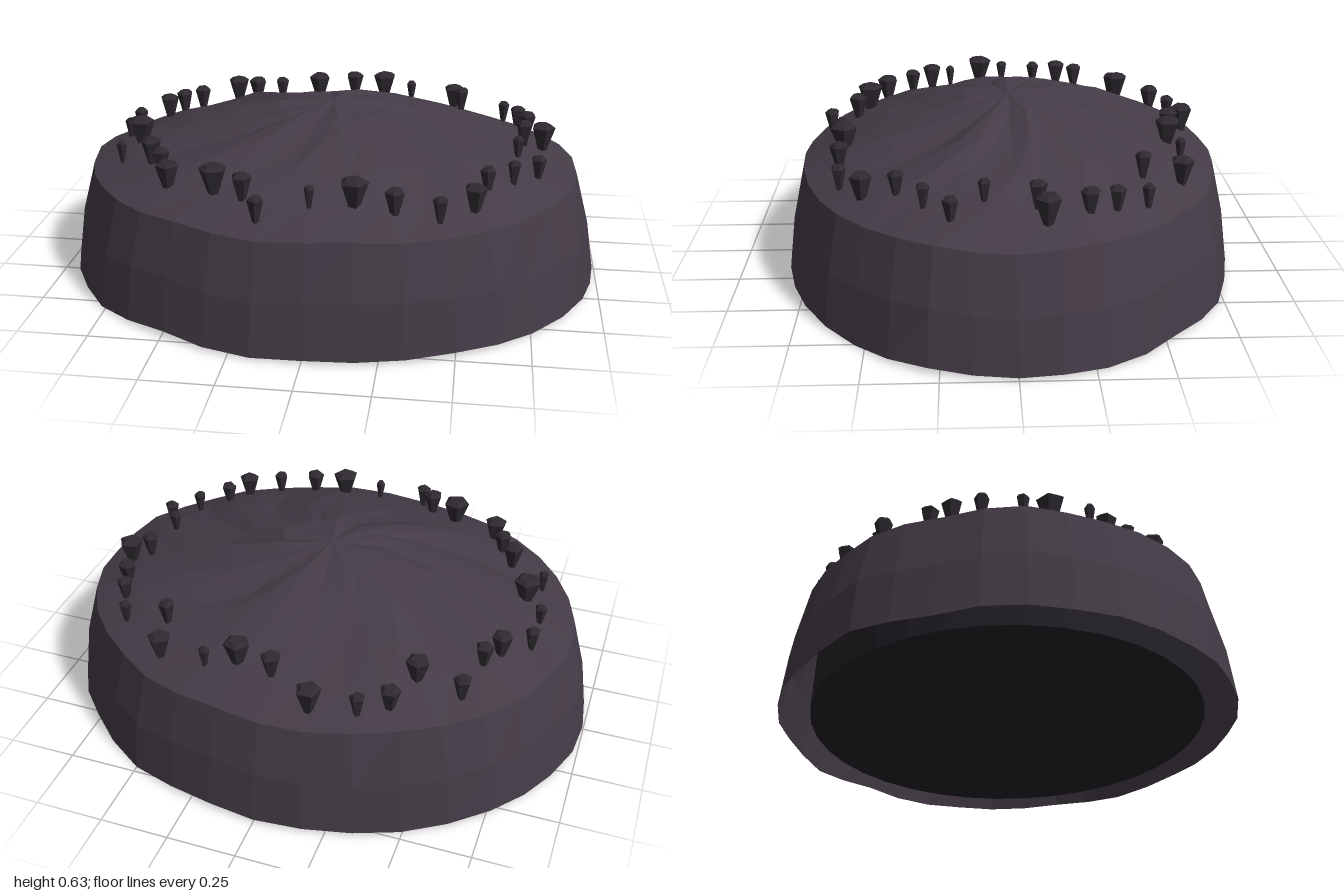
import * as THREE from 'three';

const SIDES = 36;
const DEPTH = 0.84; // z radius relative to x radius

const shellMat = new THREE.MeshStandardMaterial({ color: 0x443b46, flatShading: true, side: THREE.DoubleSide });
shellMat.name = 'dusky plum rock';
const studMat = new THREE.MeshStandardMaterial({ color: 0x2f2a31, flatShading: true });
studMat.name = 'dark stone';
const coreMat = new THREE.MeshStandardMaterial({ color: 0x232026, flatShading: true });
coreMat.name = 'near black';

// radius, height, radial ripple, height ripple for each ring, from the crown to the hem
const RINGS = [
  [0.20, 0.622, 0.012, 0.010], [0.38, 0.575, 0.015, 0.017], [0.57, 0.525, 0.015, 0.016],
  [0.75, 0.468, 0.012, 0.010], [0.91, 0.405, 0.006, 0.008], [0.965, 0.21, 0.010, 0.012],
  [0.995, 0.016, 0.008, 0.010],
];

// Faceted shell: rings joined by slanted quads, with ripples that swirl outward
function shellGeometry() {
  const pos = [0, 0.638, 0];
  const index = [];
  RINGS.forEach(([r, y, dr, dy], k) => {
    for (let i = 0; i < SIDES; i++) {
      const t = (i / SIDES) * Math.PI * 2;
      const swirl = t - r * 0.9;
      const a = Math.sin(9 * swirl) * 0.6 + Math.sin(13 * swirl + 1.3) * 0.4;
      const b = Math.sin(7 * swirl + k) * 0.5 + Math.sin(11 * swirl + 0.7) * 0.5;
      const rr = Math.min(r + dr * a, 1);
      pos.push(rr * Math.cos(t), Math.max(y + dy * b, 0), rr * Math.sin(t) * DEPTH);
    }
  });
  const id = (k, i) => 1 + k * SIDES + (i % SIDES);
  for (let i = 0; i < SIDES; i++) {
    index.push(0, id(0, i + 1), id(0, i));
    for (let k = 0; k < RINGS.length - 1; k++) {
      index.push(id(k, i), id(k, i + 1), id(k + 1, i + 1));
      index.push(id(k, i), id(k + 1, i + 1), id(k + 1, i));
    }
  }
  const g = new THREE.BufferGeometry();
  g.setAttribute('position', new THREE.Float32BufferAttribute(pos, 3));
  g.setIndex(index);
  g.computeVertexNormals();
  return g;
}

// Average shell height at an elliptical radius
function shellHeight(r) {
  let [r0, y0] = [0, 0.638];
  for (const [r1, y1] of RINGS) {
    if (r <= r1) return y0 + ((y1 - y0) * (r - r0)) / (r1 - r0);
    [r0, y0] = [r1, y1];
  }
  return 0;
}

// x, z, head radius of every stud around the crown
const STUDS = [
  [-0.15, -0.68, 0.045], [0.01, -0.6, 0.037], [0.14, -0.58, 0.047], [0.25, -0.61, 0.02],
  [0.43, -0.585, 0.042], [0.465, -0.445, 0.03], [0.635, -0.44, 0.023], [0.69, -0.33, 0.03],
  [0.725, -0.24, 0.034], [0.78, -0.1, 0.045], [0.71, -0.07, 0.032], [0.685, 0.1, 0.022],
  [0.755, 0.21, 0.028], [0.67, 0.3, 0.024], [0.58, 0.39, 0.029], [0.54, 0.51, 0.04],
  [0.43, 0.595, 0.027], [0.28, 0.605, 0.035], [0.145, 0.6, 0.05], [0, 0.62, 0.018],
  [-0.17, 0.675, 0.029], [-0.235, 0.58, 0.036], [-0.34, 0.54, 0.05], [-0.515, 0.48, 0.042],
  [-0.565, 0.38, 0.032], [-0.62, 0.3, 0.038], [-0.755, 0.225, 0.019], [-0.715, 0.1, 0.05],
  [-0.785, 0, 0.023], [-0.785, -0.135, 0.027], [-0.695, -0.23, 0.037], [-0.65, -0.305, 0.033],
  [-0.615, -0.46, 0.033], [-0.46, -0.465, 0.042], [-0.405, -0.595, 0.037], [-0.31, -0.65, 0.028],
];

export function createModel() {
  const model = new THREE.Group();
  model.name = 'studdedDome';

  const shell = new THREE.Mesh(shellGeometry(), shellMat);
  shell.name = 'shell';
  model.add(shell);

  // Inner drum closing the underside
  const core = new THREE.Mesh(new THREE.CylinderGeometry(0.84, 0.86, 0.34, SIDES), coreMat);
  core.name = 'innerCore';
  core.scale.z = DEPTH;
  core.position.y = 0.19;
  model.add(core);

  // Five-sided studs, narrow at the foot with a bevelled head
  const studs = new THREE.Group();
  studs.name = 'studs';
  const profile = [[0, 0], [0.35, 0], [1, 0.88], [0.6, 1], [0, 1]].map(([x, y]) => new THREE.Vector2(x, y));
  const studGeo = new THREE.LatheGeometry(profile, 5);
  STUDS.forEach(([x, z, r], i) => {
    const stud = new THREE.Mesh(studGeo, studMat);
    stud.name = 'stud';
    const ground = shellHeight(Math.hypot(x, z / DEPTH));
    stud.position.set(x, ground - 0.012, z);
    stud.scale.set(r, 0.075 + r * 0.7, r);
    stud.rotation.y = i * 1.7;
    studs.add(stud);
  });
  model.add(studs);
  return model;
}
